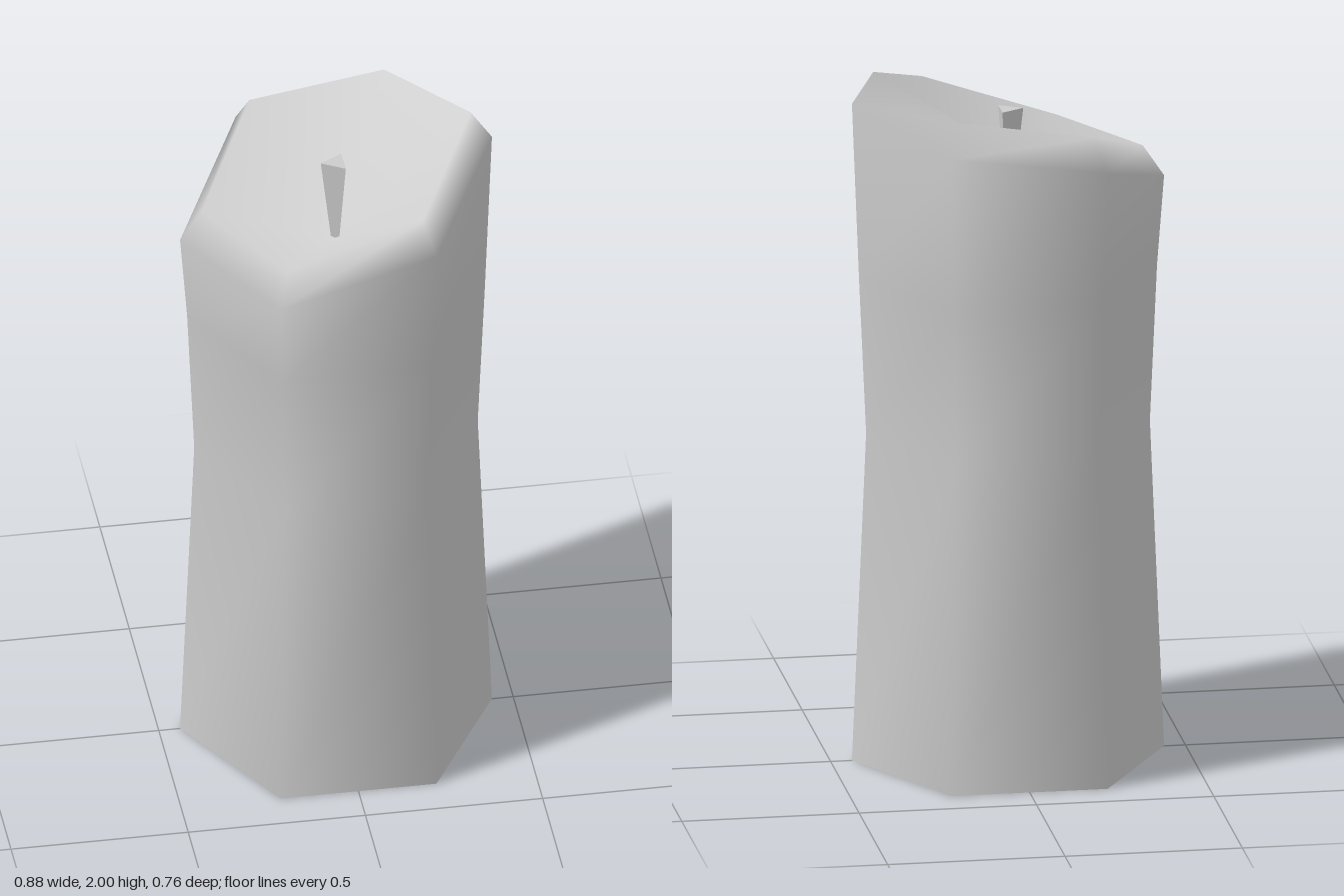
import * as THREE from 'three';

const SIDES = 6;
// Uneven melted rim heights, going round from +x towards +z
const RIM = [1.91, 1.79, 1.66, 1.66, 1.79, 1.85];

// Rings from the open base up to the rounded lip: radius and height at each corner
const RINGS = [
  { r: 0.44, y: () => 0 },
  { r: 0.4, y: () => 0.95 },
  { r: 0.42, y: () => 1.4 },
  { r: 0.44, y: (i) => RIM[i] },
  { r: 0.38, y: (i) => RIM[i] + 0.09 },
];
const HOLLOW_Y = 1.62;

function waxGeometry() {
  const positions = [];
  const index = [];
  for (const ring of RINGS) {
    for (let i = 0; i < SIDES; i++) {
      const a = (i / SIDES) * Math.PI * 2;
      positions.push(ring.r * Math.cos(a), ring.y(i), ring.r * Math.sin(a));
    }
  }
  // Walls
  for (let k = 0; k < RINGS.length - 1; k++) {
    for (let i = 0; i < SIDES; i++) {
      const a = k * SIDES + i;
      const b = k * SIDES + ((i + 1) % SIDES);
      index.push(a, a + SIDES, b, b, a + SIDES, b + SIDES);
    }
  }
  // Hollow sinking from the lip to the foot of the wick
  const centre = positions.length / 3;
  positions.push(0, HOLLOW_Y, 0);
  const lip = (RINGS.length - 1) * SIDES;
  for (let i = 0; i < SIDES; i++) {
    index.push(lip + i, centre, lip + ((i + 1) % SIDES));
  }
  const geometry = new THREE.BufferGeometry();
  geometry.setAttribute('position', new THREE.Float32BufferAttribute(positions, 3));
  geometry.setIndex(index);
  geometry.computeVertexNormals();
  return geometry;
}

export function createModel() {
  const group = new THREE.Group();
  group.name = 'candle';

  const wax = new THREE.Mesh(
    waxGeometry(),
    new THREE.MeshStandardMaterial({ color: 0xcccccc, side: THREE.DoubleSide })
  );
  wax.name = 'waxBody';
  group.add(wax);

  // Three-sided wick, wider at its tip
  const top = 1.875;
  const height = top - HOLLOW_Y;
  const wick = new THREE.Mesh(
    new THREE.CylinderGeometry(0.043, 0.014, height, 3, 1, false, -Math.PI / 2),
    new THREE.MeshStandardMaterial({ color: 0xcccccc, flatShading: true })
  );
  wick.name = 'wick';
  wick.position.y = HOLLOW_Y + height / 2;
  group.add(wick);

  return group;
}
